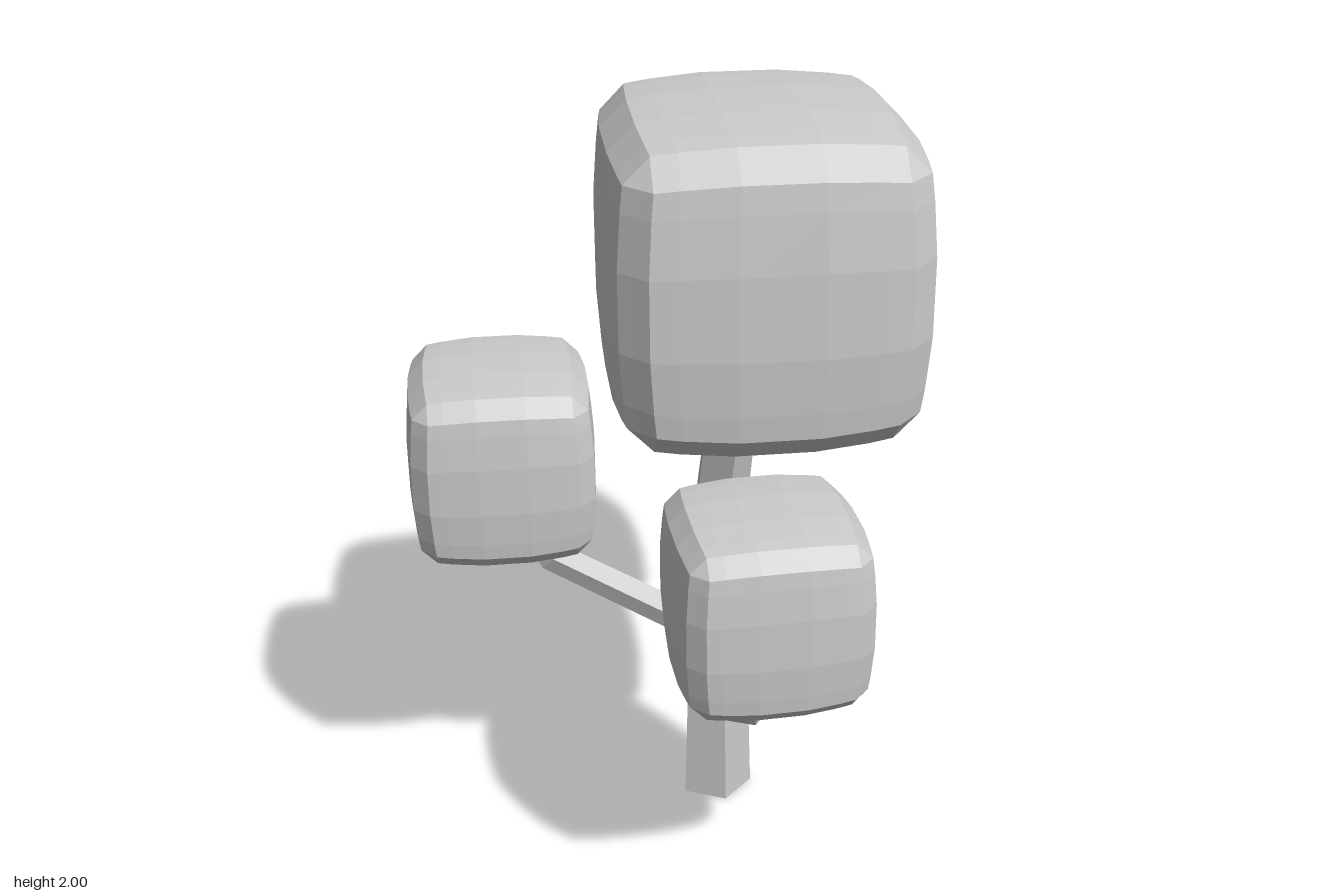
import * as THREE from 'three';

const SIDES = 5;
const CHAMFER = 0.16; // share of the half size cut from every edge
const BULGE = 0.07;   // how far corners shrink towards the middle
const TICKS = [-1, -(1 - CHAMFER), -0.66, -0.28, 0.28, 0.66, 1 - CHAMFER, 1];

const material = new THREE.MeshStandardMaterial({ color: 0xcccccc, flatShading: true });

// Five-sided limb lofted along a bent path; each point is [x, y, z, radius]
function limb(name, points, phase = Math.PI / 5, levelBase = false) {
  const centres = points.map(([x, y, z]) => new THREE.Vector3(x, y, z));
  const up = new THREE.Vector3(0, 1, 0);
  const last = centres.length - 1;
  const positions = [];
  const index = [];

  centres.forEach((centre, i) => {
    const tangent = centres[Math.min(i + 1, last)].clone()
      .sub(centres[Math.max(i - 1, 0)]).normalize();
    if (levelBase && i === 0) tangent.copy(up);
    const turn = new THREE.Quaternion().setFromUnitVectors(up, tangent);
    for (let j = 0; j < SIDES; j++) {
      const a = phase + (j / SIDES) * Math.PI * 2;
      const p = new THREE.Vector3(Math.cos(a), 0, Math.sin(a))
        .multiplyScalar(points[i][3]).applyQuaternion(turn).add(centre);
      positions.push(p.x, p.y, p.z);
    }
  });

  // Side faces
  for (let i = 0; i < last; i++) {
    for (let j = 0; j < SIDES; j++) {
      const a = i * SIDES + j;
      const b = i * SIDES + ((j + 1) % SIDES);
      index.push(a, a + SIDES, b, b, a + SIDES, b + SIDES);
    }
  }
  // End caps
  const top = last * SIDES;
  for (let j = 1; j < SIDES - 1; j++) {
    index.push(0, j, j + 1, top, top + j + 1, top + j);
  }

  const geometry = new THREE.BufferGeometry();
  geometry.setAttribute('position', new THREE.Float32BufferAttribute(positions, 3));
  geometry.setIndex(index);
  const flat = geometry.toNonIndexed();
  flat.computeVertexNormals();
  const mesh = new THREE.Mesh(flat, material);
  mesh.name = name;
  return mesh;
}

// Chamfered block of leaves with softly swollen faces
function foliage(name, centre, half, degrees) {
  const n = TICKS.length - 1;
  const box = new THREE.BoxGeometry(2, 2, 2, n, n, n);
  const pos = box.attributes.position;
  for (let i = 0; i < pos.count; i++) {
    let p = [pos.getX(i), pos.getY(i), pos.getZ(i)]
      .map((v) => TICKS[Math.round(((v + 1) * n) / 2)]);
    // Edges and corners slide onto the flat chamfers
    const extremes = p.filter((v) => Math.abs(v) === 1).length;
    const pull = [1, 1, 1 - CHAMFER / 2, 1 - (CHAMFER * 2) / 3][extremes];
    p = p.map((v) => (Math.abs(v) === 1 ? v * pull : v));
    const [x, y, z] = p;
    pos.setXYZ(i,
      x * (1 - BULGE * (y * y + z * z)) * half[0],
      y * (1 - BULGE * (x * x + z * z)) * half[1],
      z * (1 - BULGE * (x * x + y * y)) * half[2]);
  }
  const flat = box.toNonIndexed();
  flat.computeVertexNormals();
  const mesh = new THREE.Mesh(flat, material);
  mesh.name = name;
  mesh.position.set(...centre);
  mesh.rotation.y = THREE.MathUtils.degToRad(-degrees);
  return mesh;
}

export function createModel() {
  const tree = new THREE.Group();
  tree.name = 'tree';

  // Trunk, leaning forward above the bend
  tree.add(limb('trunk', [
    [0.01, 0, 0.01, 0.1],
    [0.005, 0.8, 0.02, 0.075],
    [-0.04, 1.35, 0.17, 0.065],
  ], Math.PI / 5, true));

  // Bent branches
  tree.add(limb('frontBranch', [
    [-0.02, 0.29, 0.06, 0.045],
    [-0.15, 0.5, 0.39, 0.042],
    [-0.21, 0.74, 0.49, 0.036],
  ]));
  tree.add(limb('leftBranch', [
    [0.02, 0.77, -0.02, 0.06],
    [0.3, 1.03, -0.3, 0.052],
    [0.4, 1.23, -0.4, 0.045],
  ]));
  tree.add(limb('rightBranch', [
    [-0.02, 0.5, -0.02, 0.046],
    [-0.36, 0.74, -0.21, 0.042],
    [-0.44, 0.92, -0.27, 0.036],
  ]));

  // Leaf blocks
  tree.add(foliage('crownFoliage', [-0.015, 1.615, 0.21], [0.375, 0.385, 0.402], 28));
  tree.add(foliage('leftFoliage', [0.4, 1.412, -0.353], [0.285, 0.288, 0.35], 26));
  tree.add(foliage('rightFoliage', [-0.465, 1.06, -0.257], [0.235, 0.24, 0.253], 28));
  tree.add(foliage('frontFoliage', [-0.178, 0.878, 0.475], [0.235, 0.238, 0.238], 25));

  return tree;
}
